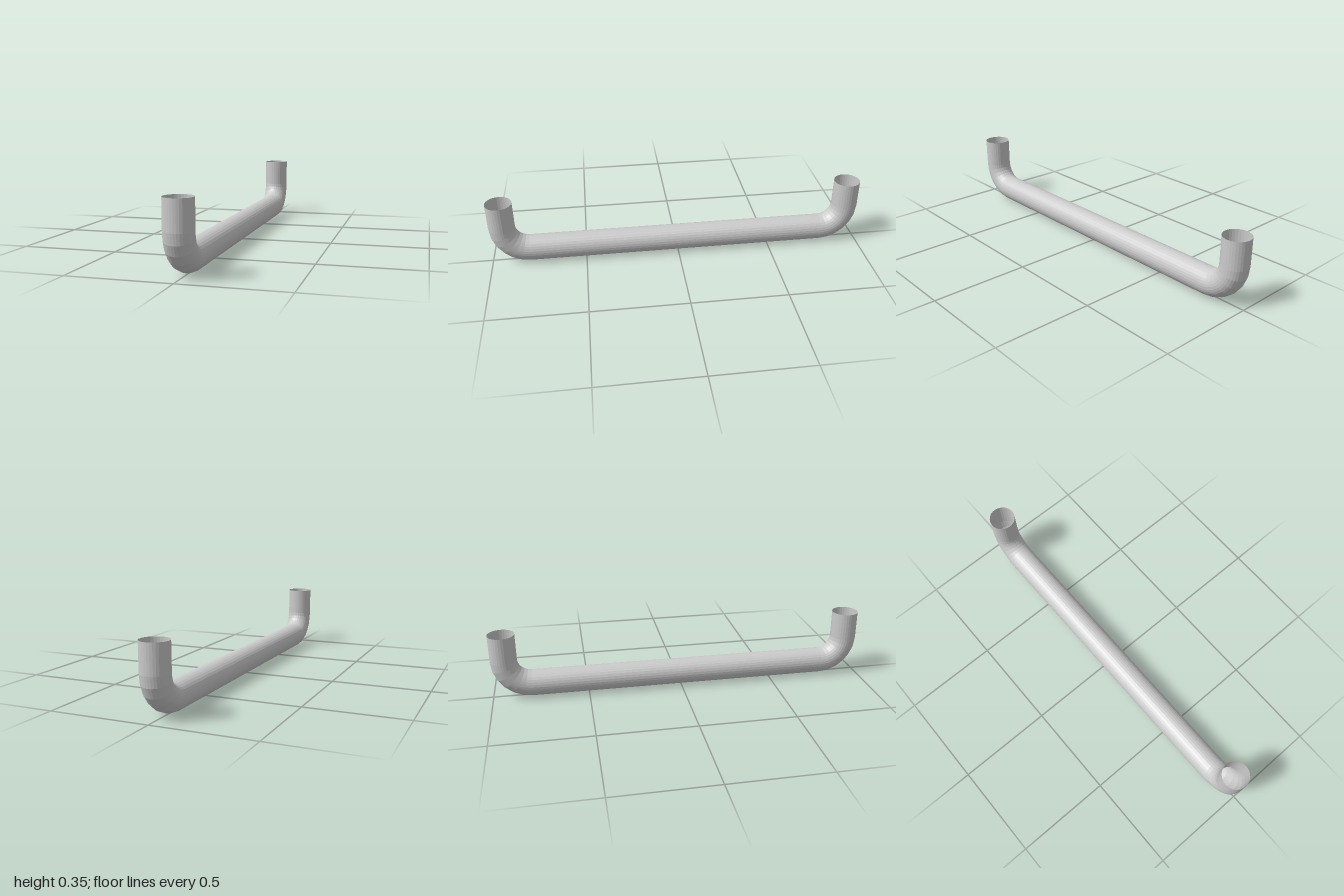
import * as THREE from 'three';

const R = 0.069;        // pipe radius
const BEND = 0.137;     // bend centreline radius
const SIDES = 32;
const TOP = 0.35;       // height of the open ends
const Z = 1 - R;        // z of the upright ends

export function createModel() {
  const model = new THREE.Group();
  model.name = 'barHandle';
  const material = new THREE.MeshStandardMaterial({
    color: 0xcccccc, flatShading: true, side: THREE.DoubleSide,
  });
  const add = (parent, name, geometry, y, z) => {
    const mesh = new THREE.Mesh(geometry, material);
    mesh.name = name;
    mesh.position.set(0, y, z);
    parent.add(mesh);
  };
  const pipe = (length) => new THREE.CylinderGeometry(R, R, length, SIDES, 1, true);

  const bendY = R + BEND;
  const bendZ = Z - BEND;

  // Long straight bar
  add(model, 'bar', pipe(2 * bendZ).rotateX(Math.PI / 2), R, 0);

  // Elbow and open upright at each end
  const elbow = new THREE.TorusGeometry(BEND, R, SIDES, 6, Math.PI / 2)
    .rotateZ(-Math.PI / 2).rotateY(-Math.PI / 2);
  const upright = pipe(TOP - bendY);
  for (const [name, turn] of [['frontEnd', 0], ['backEnd', Math.PI]]) {
    const end = new THREE.Group();
    end.name = name;
    end.rotation.y = turn;
    add(end, 'elbow', elbow, bendY, bendZ);
    add(end, 'upright', upright, (TOP + bendY) / 2, Z);
    model.add(end);
  }
  return model;
}
